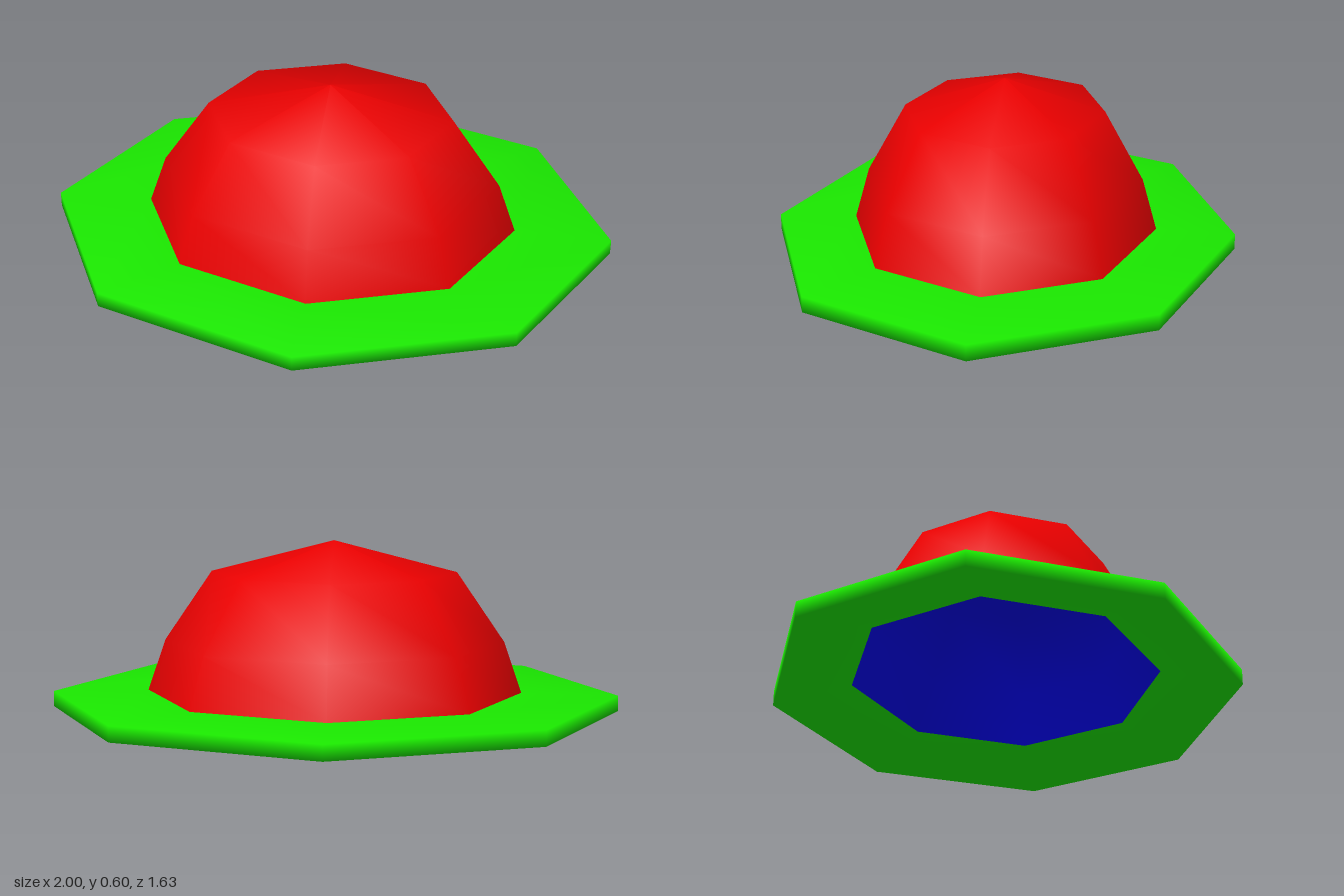
import * as THREE from 'three';

const DEPTH = 0.815; // the hat is narrower front to back

// Smooth eight-sided shell; a profile running upwards faces outwards
function shell(name, profile, material) {
  const points = profile.map(([r, y]) => new THREE.Vector2(r, y));
  const geometry = new THREE.LatheGeometry(points, 8);
  geometry.scale(1, 1, DEPTH);
  const mesh = new THREE.Mesh(geometry, material);
  mesh.name = name;
  return mesh;
}

function colour(name, hex) {
  const material = new THREE.MeshStandardMaterial({ color: hex });
  material.name = name;
  return material;
}

export function createModel() {
  const base = [0.66, 0.063]; // ring where crown, lining and brim meet

  const crown = [base, [0.597, 0.245], [0.43, 0.49], [0, 0.6]];
  // The lining is a smaller dome facing inwards, so the crown has thickness
  const lining = [[0, 0.55], [0.395, 0.455], [0.555, 0.23], base];
  // The brim is a closed wedge: hollowed underside, outer edge, top
  const brim = [base, [1, 0], [1, 0.055], base];

  const hat = new THREE.Group();
  hat.name = 'hat';
  hat.add(
    shell('crown', crown, colour('red', 0xe70000)),
    shell('lining', lining, colour('blue', 0x0000e7)),
    shell('brim', brim, colour('green', 0x1ae700)),
  );
  return hat;
}
